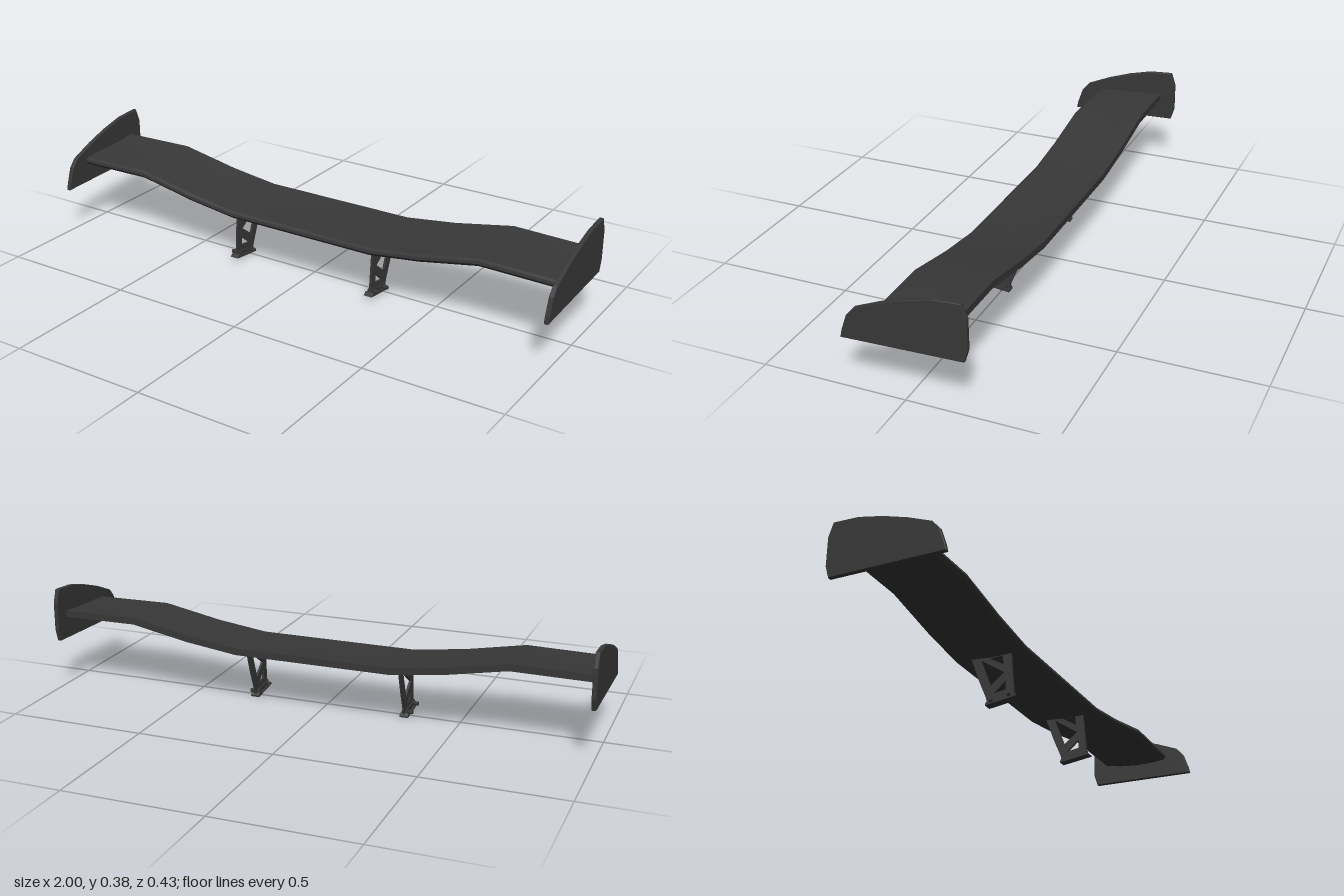
import * as THREE from 'three';
import { toCreasedNormals } from 'three/addons/utils/BufferGeometryUtils.js';

const carbon = new THREE.MeshStandardMaterial({ color: 0x383838 });
carbon.name = 'dark carbon';

const toPoints = (list) => list.map(([z, y]) => new THREE.Vector2(z, y));

// Plate drawn in the z-y plane, given thickness along x and centred on x = 0
function sidePlate(name, outline, thickness, holes = [], bevel = 0) {
  const shape = new THREE.Shape(toPoints(outline));
  holes.forEach((h) => shape.holes.push(new THREE.Path(toPoints(h))));
  const depth = thickness - 2 * bevel;
  const geo = new THREE.ExtrudeGeometry(shape, {
    depth, bevelEnabled: bevel > 0, bevelSize: bevel, bevelOffset: -bevel,
    bevelThickness: bevel, bevelSegments: 1,
  });
  geo.translate(0, 0, -depth / 2).rotateY(-Math.PI / 2);
  const mesh = new THREE.Mesh(geo, carbon);
  mesh.name = name;
  return mesh;
}

// Wing blade: one aerofoil section swept through spanwise stations
function blade() {
  const section = [ // z, y, counter-clockwise from the leading edge underside
    [0.114, 0.198], [0.112, 0.208], [0.104, 0.214], [0.05, 0.217], [-0.02, 0.219],
    [-0.09, 0.223], [-0.16, 0.23], [-0.16, 0.205], [-0.09, 0.191], [-0.02, 0.183],
    [0.05, 0.182], [0.104, 0.187],
  ].reverse();
  const half = [[0.29, 0], [0.48, 0.025], [0.7, 0.067], [0.988, 0.063]]; // x, lift
  const stations = [...half.map(([x, l]) => [-x, l]).reverse(), ...half];
  const n = section.length;
  const pos = [], index = [];
  stations.forEach(([x, lift], i) => {
    const tip = Math.abs(x) > 0.9;
    section.forEach(([z, y]) => pos.push(x, y + lift, tip && z < -0.15 ? -0.155 : z));
    if (i === 0) return;
    for (let j = 0; j < n; j++) {
      const a = (i - 1) * n + j, b = (i - 1) * n + (j + 1) % n;
      index.push(a, b, b + n, a, b + n, a + n);
    }
  });
  const geo = new THREE.BufferGeometry();
  geo.setAttribute('position', new THREE.Float32BufferAttribute(pos, 3));
  geo.setIndex(index);
  const mesh = new THREE.Mesh(toCreasedNormals(geo, 0.5), carbon);
  mesh.name = 'wingBlade';
  return mesh;
}

// Truss upright with foot bracket and bolts; side points the bolt heads outward
function support(side) {
  const g = new THREE.Group();
  const upright = sidePlate('upright',
    [[0.06, 0.195], [0.0625, 0.18], [0.075, 0.02], [-0.026, 0.013], [-0.032, 0.036],
      [-0.06, 0.105], [-0.0875, 0.184], [-0.091, 0.197]], 0.008, [
      [[0.03, 0.182], [-0.02, 0.182], [0.034, 0.148]],
      [[0.037, 0.118], [-0.055, 0.182], [-0.016, 0.077]],
      [[0.043, 0.086], [-0.003, 0.047], [0.043, 0.053]],
    ]);
  const bracket = sidePlate('footBracket',
    [[0.075, 0.037], [0.075, 0.016], [-0.02, 0.006], [-0.02, 0.025], [-0.01, 0.029]], 0.018);
  const flange = sidePlate('footFlange',
    [[0.089, 0.017], [0.075, 0.029], [0.072, 0.021], [-0.018, 0.012], [-0.022, 0.018],
      [-0.029, 0.009], [-0.029, 0.003]], 0.032);
  g.add(upright, bracket, flange);
  for (const [z, y] of [[0.06, 0.028], [-0.006, 0.018]]) {
    const bolt = new THREE.Mesh(new THREE.CylinderGeometry(0.007, 0.007, 0.04, 6), carbon);
    bolt.name = 'bolt';
    bolt.rotation.z = Math.PI / 2;
    bolt.position.set(side * 0.007, y, z);
    g.add(bolt);
  }
  return g;
}

export function createModel() {
  const model = new THREE.Group();
  model.name = 'rearWing';
  model.add(blade());

  // End plates
  const plateOutline = [[0.215, 0.175], [0.21, 0.2], [0.19, 0.259], [0.164, 0.289],
    [0.075, 0.327], [-0.014, 0.357], [-0.104, 0.379], [-0.195, 0.385], [-0.212, 0.336],
    [-0.213, 0.232], [-0.2, 0.188]];
  for (const side of [1, -1]) {
    const plate = sidePlate(side > 0 ? 'leftEndPlate' : 'rightEndPlate', plateOutline, 0.016, [], 0.002);
    plate.position.x = side * 0.992;
    model.add(plate);
  }

  // Supports
  for (const [name, x, side] of [['leftSupport', 0.276, 1], ['rightSupport', -0.3, -1]]) {
    const s = support(side);
    s.name = name;
    s.position.x = x;
    model.add(s);
  }
  return model;
}
